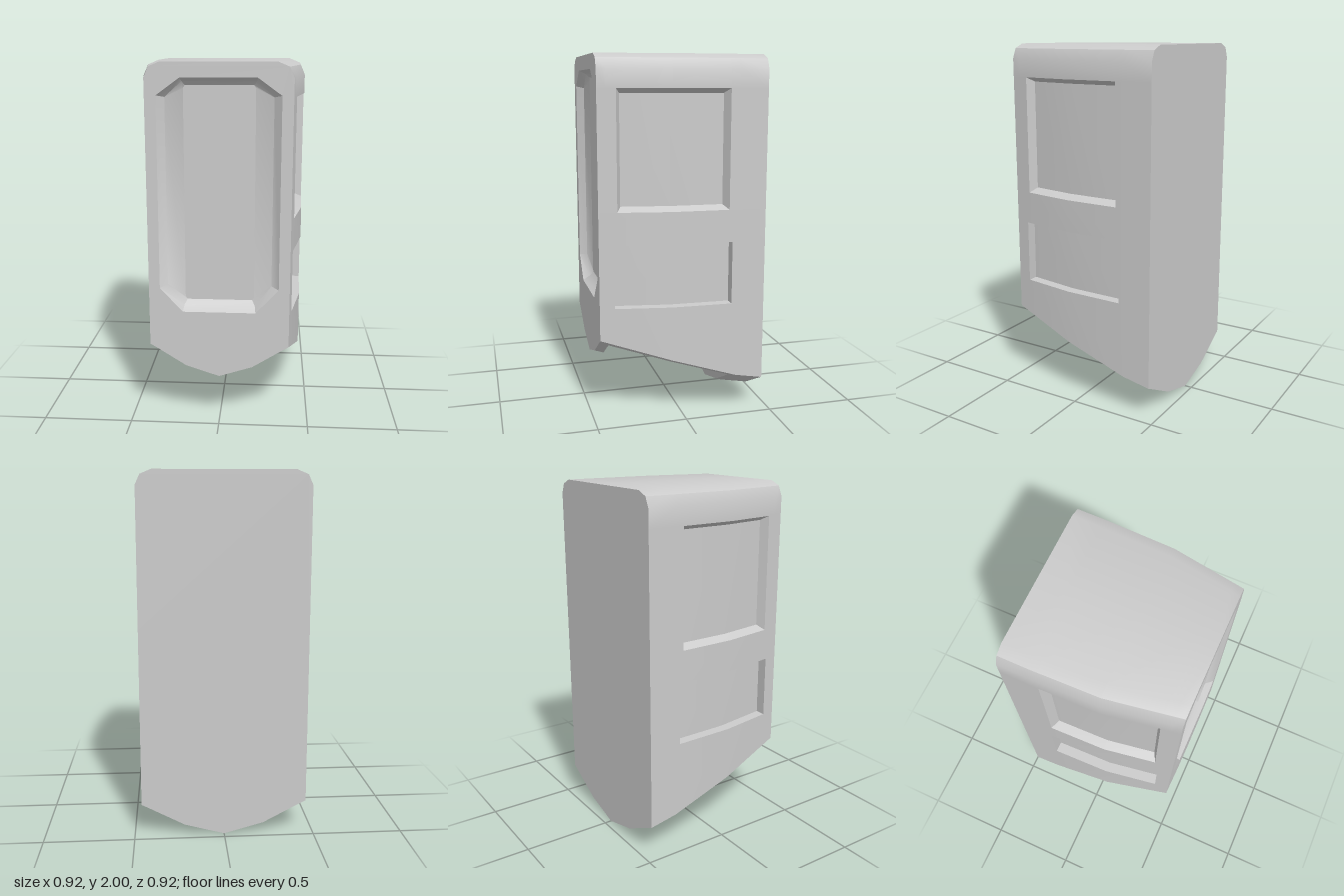
import * as THREE from 'three';
import { toCreasedNormals } from 'three/addons/utils/BufferGeometryUtils.js';

const material = new THREE.MeshStandardMaterial({ color: 0xcccccc });

// Collects quads, optionally with their mirror image across x = 0
function quadBuilder(mirrored) {
  const positions = [];
  const tri = (a, b, c) => {
    positions.push(...a, ...b, ...c);
    if (mirrored) for (const p of [c, b, a]) positions.push(-p[0], p[1], p[2]);
  };
  return {
    quad(a, b, c, d) { tri(a, b, c); tri(a, c, d); },
    mesh(name) {
      const g = new THREE.BufferGeometry();
      g.setAttribute('position', new THREE.Float32BufferAttribute(positions, 3));
      return named(toCreasedNormals(g, 0.5), name);
    },
  };
}

function named(geometry, name) {
  const mesh = new THREE.Mesh(geometry, material);
  mesh.name = name;
  return mesh;
}

// Straight interpolation through [z, value] pairs
function along(pairs, z) {
  let i = 0;
  while (i < pairs.length - 2 && z > pairs[i + 1][0]) i++;
  const [z0, v0] = pairs[i], [z1, v1] = pairs[i + 1];
  return v0 + (v1 - v0) * (z - z0) / (z1 - z0);
}

const halfWidth = z => along([[-0.46, 0.46], [-0.3, 0.46], [0.07, 0.45], [0.46, 0.385]], z);
const sideBottom = z => along([[-0.46, 0.185], [-0.3, 0.215], [0.46, 0.46]], z);

// Half cross-section from bottom centre, up the side, to top centre
function section(z) {
  const w = halfWidth(z), s = sideBottom(z), m = 0.48 * w, e = w - 0.04;
  const edgeY = s - 0.12 * (w - e) / (w - m);
  return [
    [0, s - 0.185], [m, s - 0.125], [e, edgeY], [w, s],
    [w, 0.64], [w, 0.99], [w, 1.17], [w, 1.82], [w, 1.92],
    [w - 0.025, 1.975], [w - 0.085, 2], [0, 2],
  ].map(([x, y]) => [x, y, z]);
}

const stations = [-0.46, -0.3, -0.27, -0.25, 0.07, 0.36, 0.38, 0.41, 0.46];
const P = (i, k) => section(stations[k])[i];

// Recesses: ranges of section points (i) and stations (k)
const recesses = [
  { name: 'upperSideRecess', i0: 6, i1: 7, k0: 3, k1: 5, depth: 0.05, bevel: 0.025 },
  { name: 'lowerSideRecess', i0: 4, i1: 5, k0: 2, k1: 6, depth: 0.06, bevel: 0 },
  { name: 'undersideRecess', i0: 0, i1: 2, k0: 2, k1: 7, depth: 0.055, bevel: 0.025, under: true },
];

// Floor of a recess, its border inset by the bevel
function floorPoint(r, i, k) {
  const z = stations[k] + (k === r.k0 ? r.bevel : k === r.k1 ? -r.bevel : 0);
  const [x, y] = section(z)[i];
  if (r.under) return [i === r.i1 ? x - 0.015 : x, y + r.depth, z];
  return [x - r.depth, y + (i === r.i0 ? r.bevel : -r.bevel), z];
}

function buildRecess(r) {
  const b = quadBuilder(true);
  const Q = (i, k) => floorPoint(r, i, k);
  for (let i = r.i0; i < r.i1; i++) {
    for (let k = r.k0; k < r.k1; k++) b.quad(Q(i, k), Q(i + 1, k), Q(i + 1, k + 1), Q(i, k + 1));
    b.quad(P(i, r.k0), P(i + 1, r.k0), Q(i + 1, r.k0), Q(i, r.k0));
    b.quad(Q(i, r.k1), Q(i + 1, r.k1), P(i + 1, r.k1), P(i, r.k1));
  }
  for (let k = r.k0; k < r.k1; k++) {
    if (!r.under) b.quad(P(r.i0, k), Q(r.i0, k), Q(r.i0, k + 1), P(r.i0, k + 1));
    b.quad(Q(r.i1, k), P(r.i1, k), P(r.i1, k + 1), Q(r.i1, k + 1));
  }
  return b.mesh(r.name);
}

// Sides, top and underside, leaving openings for the recesses
function buildShell() {
  const b = quadBuilder(true);
  for (let i = 0; i < 11; i++) {
    for (let k = 0; k < stations.length - 1; k++) {
      if (recesses.some(r => i >= r.i0 && i < r.i1 && k >= r.k0 && k < r.k1)) continue;
      b.quad(P(i, k), P(i + 1, k), P(i + 1, k + 1), P(i, k + 1));
    }
  }
  return b.mesh('shell');
}

const outline = z => {
  const half = section(z);
  const left = half.slice(1, -1).reverse().map(([x, y]) => [-x, y]);
  return [...half, ...left].map(([x, y]) => new THREE.Vector2(x, y));
};

// Counter-clockwise loop with cut corners
const cutLoop = (x, low, high, cx, bottom, top, z) => [
  [cx, bottom], [x, low], [x, high], [cx, top],
  [-cx, top], [-x, high], [-x, low], [-cx, bottom],
].map(([px, py]) => [px, py, z]);

export function createModel() {
  const group = new THREE.Group();
  group.name = 'cabinet';
  group.add(buildShell(), ...recesses.map(buildRecess));

  // Back face
  const back = named(new THREE.ShapeGeometry(new THREE.Shape(outline(-0.46))).rotateY(Math.PI), 'backFace');
  back.position.z = -0.46;
  group.add(back);
  back.geometry.translate(0, 0, 0);

  // Front rim around the sunken panel
  const loops = [
    cutLoop(0.325, 0.79, 1.83, 0.2, 0.655, 1.92, 0.46),
    cutLoop(0.285, 0.8, 1.82, 0.195, 0.682, 1.9, 0.42),
    cutLoop(0.19, 0.725, 1.865, 0.18, 0.71, 1.88, 0.4),
  ];
  const front = new THREE.Shape(outline(0.46));
  front.holes.push(new THREE.Path(loops[0].map(([x, y]) => new THREE.Vector2(x, y))));
  const rim = named(new THREE.ShapeGeometry(front), 'frontRim');
  rim.position.z = 0.46;
  group.add(rim);

  // Sloping walls of the front recess
  const walls = quadBuilder(false);
  for (let l = 0; l < 2; l++) {
    for (let j = 0; j < 8; j++) {
      const n = (j + 1) % 8;
      walls.quad(loops[l][j], loops[l][n], loops[l + 1][n], loops[l + 1][j]);
    }
  }
  group.add(walls.mesh('frontRecessWalls'));

  // Flat floor of the front recess
  const floor = new THREE.Shape(loops[2].map(([x, y]) => new THREE.Vector2(x, y)));
  const panel = named(new THREE.ShapeGeometry(floor), 'frontPanel');
  panel.position.z = 0.4;
  group.add(panel);
  return group;
}
